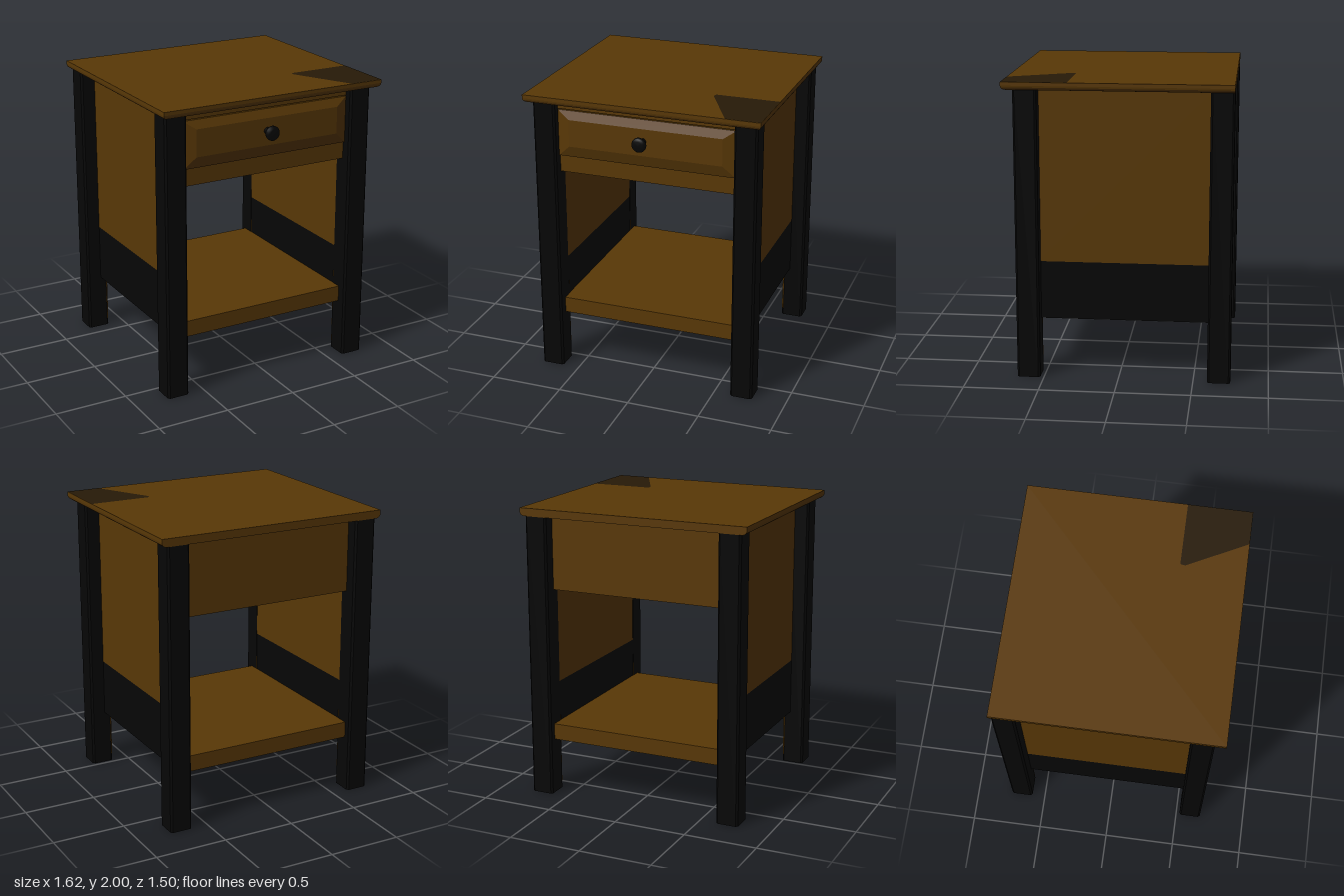
import * as THREE from 'three';

const wood = new THREE.MeshStandardMaterial({ name: 'brown wood', color: 0x593806 });
const black = new THREE.MeshStandardMaterial({ name: 'black paint', color: 0x060606 });
const stain = new THREE.MeshStandardMaterial({ name: 'dark stain', color: 0x271a07 });

// Box given by its minimum and maximum corners
function box(name, material, [x0, y0, z0], [x1, y1, z1]) {
  const mesh = new THREE.Mesh(new THREE.BoxGeometry(x1 - x0, y1 - y0, z1 - z0), material);
  mesh.position.set((x0 + x1) / 2, (y0 + y1) / 2, (z0 + z1) / 2);
  mesh.name = name;
  return mesh;
}

// Flat-sided solid through rectangles [x0, x1, y0, y1, z], stacked along +z
function loft(rects) {
  const rings = rects.map(([x0, x1, y0, y1, z]) => [[x0, y0, z], [x1, y0, z], [x1, y1, z], [x0, y1, z]]);
  const points = [];
  const quad = (a, b, c, d) => points.push(...a, ...b, ...c, ...a, ...c, ...d);
  for (let i = 0; i < rings.length - 1; i++) {
    for (let j = 0; j < 4; j++) {
      const k = (j + 1) % 4;
      quad(rings[i][j], rings[i][k], rings[i + 1][k], rings[i + 1][j]);
    }
  }
  const [a, b, c, d] = rings[0];
  quad(d, c, b, a);
  quad(...rings[rings.length - 1]);
  const geometry = new THREE.BufferGeometry();
  geometry.setAttribute('position', new THREE.Float32BufferAttribute(points, 3));
  geometry.computeVertexNormals();
  return geometry;
}

// Square post with chamfered upright edges, standing on y = 0
function postGeometry(width, chamfer, height) {
  const h = width / 2, k = h - chamfer;
  const corners = [[k, -h], [h, -k], [h, k], [k, h], [-k, h], [-h, k], [-h, -k], [-k, -h]];
  const shape = new THREE.Shape(corners.map(([x, y]) => new THREE.Vector2(x, y)));
  return new THREE.ExtrudeGeometry(shape, { depth: height, bevelEnabled: false }).rotateX(-Math.PI / 2);
}

export function createModel() {
  const model = new THREE.Group();
  model.name = 'sideTable';

  // Table top: rounded lower edge on the front and sides, square at the back
  const edge = [[0.03, 1.945], [0.018, 1.948], [0.008, 1.955], [0.002, 1.965], [0, 1.976], [0, 1.999]];
  const topGeometry = loft(edge.map(([inset, y]) => [-0.808 + inset, 0.808 - inset, -0.748 + inset, 0.748, y]));
  topGeometry.rotateX(-Math.PI / 2);
  const top = new THREE.Mesh(topGeometry, wood);
  top.name = 'tableTop';
  model.add(top);

  // Dark patch in the front left corner of the top
  const outline = [[0.37, -0.35], [0.575, -0.747], [0.807, -0.747], [0.807, -0.318], [0.376, -0.318]];
  const patchShape = new THREE.Shape(outline.map(([x, y]) => new THREE.Vector2(x, y)));
  const patch = new THREE.Mesh(new THREE.ShapeGeometry(patchShape).rotateX(-Math.PI / 2), stain);
  patch.name = 'topPatch';
  patch.position.y = 2;
  model.add(patch);

  // Legs, each with a bare wood strip on its inner chamfer
  const width = 0.154, chamfer = 0.013;
  const legGeometry = postGeometry(width, chamfer, 1.945);
  for (const side of [-1, 1]) {
    for (const [name, z, facing] of [['frontLeg', 0.602, -1], ['backLeg', -0.671, 1]]) {
      const leg = new THREE.Mesh(legGeometry, black);
      leg.name = name;
      leg.position.set(side * 0.692, 0, z);
      model.add(leg);

      const strip = new THREE.Mesh(new THREE.BoxGeometry(chamfer * 1.35, 0.55, 0.003), wood);
      strip.name = name + 'Strip';
      const reach = (width - chamfer) / 2;
      strip.position.set(side * (0.692 - reach), 0.325, z + facing * reach);
      strip.rotation.y = -side * facing * Math.PI / 4;
      model.add(strip);
    }

    // Two-coloured side panel
    const inner = side * 0.617, outer = side * 0.669;
    const x0 = Math.min(inner, outer), x1 = Math.max(inner, outer);
    model.add(box('sidePanel', wood, [x0, 0.782, -0.61], [x1, 1.945, 0.54]));
    model.add(box('lowerSidePanel', black, [x0, 0.387, -0.61], [x1, 0.782, 0.54]));
  }

  // Drawer case: rails, back board and a raised floor
  model.add(box('topRail', wood, [-0.617, 1.888, 0.56], [0.617, 1.945, 0.62]));
  model.add(box('bottomRail', wood, [-0.617, 1.442, 0.56], [0.617, 1.56, 0.605]));
  model.add(box('backBoard', wood, [-0.617, 1.442, -0.66], [0.617, 1.945, -0.615]));
  model.add(box('caseFloor', wood, [-0.617, 1.5, -0.615], [0.617, 1.56, 0.56]));

  // Shelf with deeper front and back edges
  model.add(box('shelfBoard', wood, [-0.617, 0.42, -0.655], [0.617, 0.499, 0.57]));
  model.add(box('shelfFrontEdge', wood, [-0.617, 0.388, 0.57], [0.617, 0.499, 0.608]));
  model.add(box('shelfBackEdge', wood, [-0.617, 0.388, -0.695], [0.617, 0.499, -0.655]));

  // Drawer front with a raised, bevelled centre
  const drawer = new THREE.Mesh(loft([
    [-0.614, 0.614, 1.562, 1.882, 0.57],
    [-0.614, 0.614, 1.562, 1.882, 0.622],
    [-0.53, 0.53, 1.64, 1.825, 0.647],
  ]), wood);
  drawer.name = 'drawerFront';
  model.add(drawer);

  // Turned knob
  const profile = [[0.024, 0], [0.022, 0.05], [0.026, 0.058], [0.044, 0.06], [0.049, 0.07],
    [0.049, 0.083], [0.043, 0.093], [0.028, 0.098], [0, 0.099]];
  const knob = new THREE.Mesh(
    new THREE.LatheGeometry(profile.map(([r, y]) => new THREE.Vector2(r, y)), 24), black);
  knob.name = 'drawerKnob';
  knob.rotation.x = Math.PI / 2;
  knob.position.set(-0.01, 1.74, 0.637);
  model.add(knob);

  return model;
}
